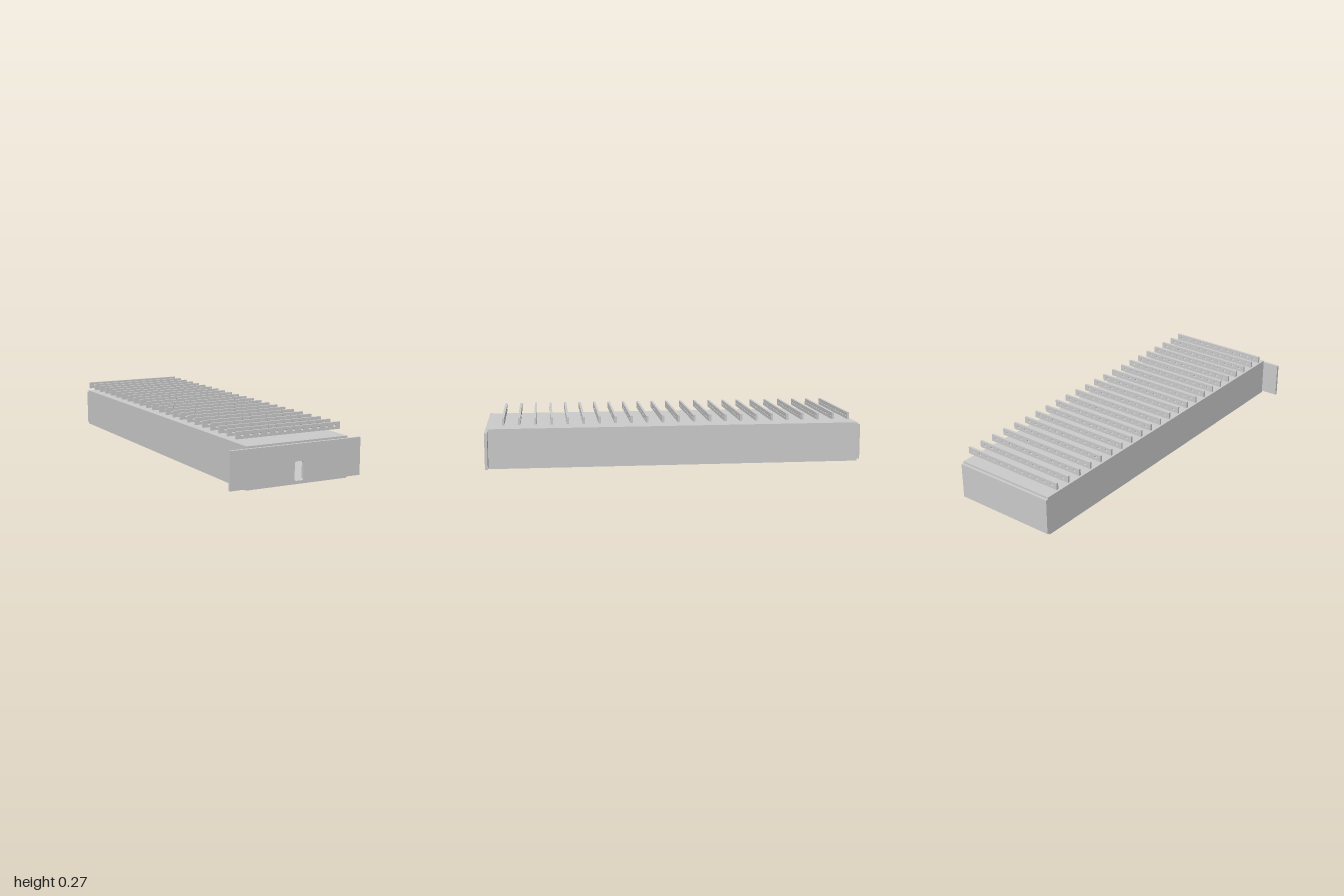
import * as THREE from 'three';

const material = new THREE.MeshStandardMaterial({ color: 0xcccccc, side: THREE.DoubleSide });

// Box given by its minimum and maximum corners
function panel(name, [x0, y0, z0], [x1, y1, z1]) {
  const mesh = new THREE.Mesh(new THREE.BoxGeometry(x1 - x0, y1 - y0, z1 - z0), material);
  mesh.position.set((x0 + x1) / 2, (y0 + y1) / 2, (z0 + z1) / 2);
  mesh.name = name;
  return mesh;
}

function rectangle(x0, y0, x1, y1) {
  return new THREE.Shape([
    new THREE.Vector2(x0, y0), new THREE.Vector2(x1, y0),
    new THREE.Vector2(x1, y1), new THREE.Vector2(x0, y1),
  ]);
}

function roundedHole(x0, y0, x1, y1, r) {
  const p = new THREE.Path();
  p.absarc(x1 - r, y0 + r, r, -Math.PI / 2, 0);
  p.absarc(x1 - r, y1 - r, r, 0, Math.PI / 2);
  p.absarc(x0 + r, y1 - r, r, Math.PI / 2, Math.PI);
  p.absarc(x0 + r, y0 + r, r, Math.PI, Math.PI * 1.5);
  p.closePath();
  return p;
}

export function createModel() {
  const model = new THREE.Group();
  model.name = 'slattedDrawer';

  // Hollow box made of thin panels
  const left = 0.297, right = -0.27, front = 0.985, back = -0.985, t = 0.01;
  const box = new THREE.Group();
  box.name = 'box';
  box.add(
    panel('bottomPanel', [right, 0, back], [left, t, front]),
    panel('topPanel', [right, 0.2, back], [left, 0.21, front]),
    panel('rightPanel', [right, t, back], [right + t, 0.2, front]),
    panel('leftPanel', [left - t, t, back], [left, 0.2, front]),
    panel('backPanel', [right, t, -1], [left, 0.2, back]),
  );
  model.add(box);

  // Wide front panel with a rounded finger slot
  const face = rectangle(-0.365, 0.01, 0.365, 0.2);
  face.holes.push(roundedHole(-0.013, 0.02, 0.036, 0.115, 0.009));
  const frontPanel = new THREE.Mesh(
    new THREE.ExtrudeGeometry(face, { depth: 0.015, bevelEnabled: false, curveSegments: 5 }), material);
  frontPanel.position.z = front;
  frontPanel.name = 'frontPanel';
  model.add(frontPanel);

  // Row of perforated slats floating above the box
  const slatShape = rectangle(-0.281, 0.231, 0.305, 0.267);
  for (let i = 0; i < 12; i++) {
    const hole = new THREE.Path();
    hole.absellipse(-0.249 + i * 0.0475, 0.249, 0.0078, 0.006, 0, Math.PI * 2, true);
    slatShape.holes.push(hole);
  }
  const slatDepth = 0.012;
  const slatGeometry = new THREE.ExtrudeGeometry(slatShape, { depth: slatDepth, bevelEnabled: false, curveSegments: 8 });
  const slats = new THREE.Group();
  slats.name = 'slats';
  for (let i = 0; i < 23; i++) {
    const slat = new THREE.Mesh(slatGeometry, material);
    slat.position.z = 0.904 - i * 0.0833 - slatDepth / 2;
    slat.name = 'slat';
    slats.add(slat);
  }
  model.add(slats);

  return model;
}
